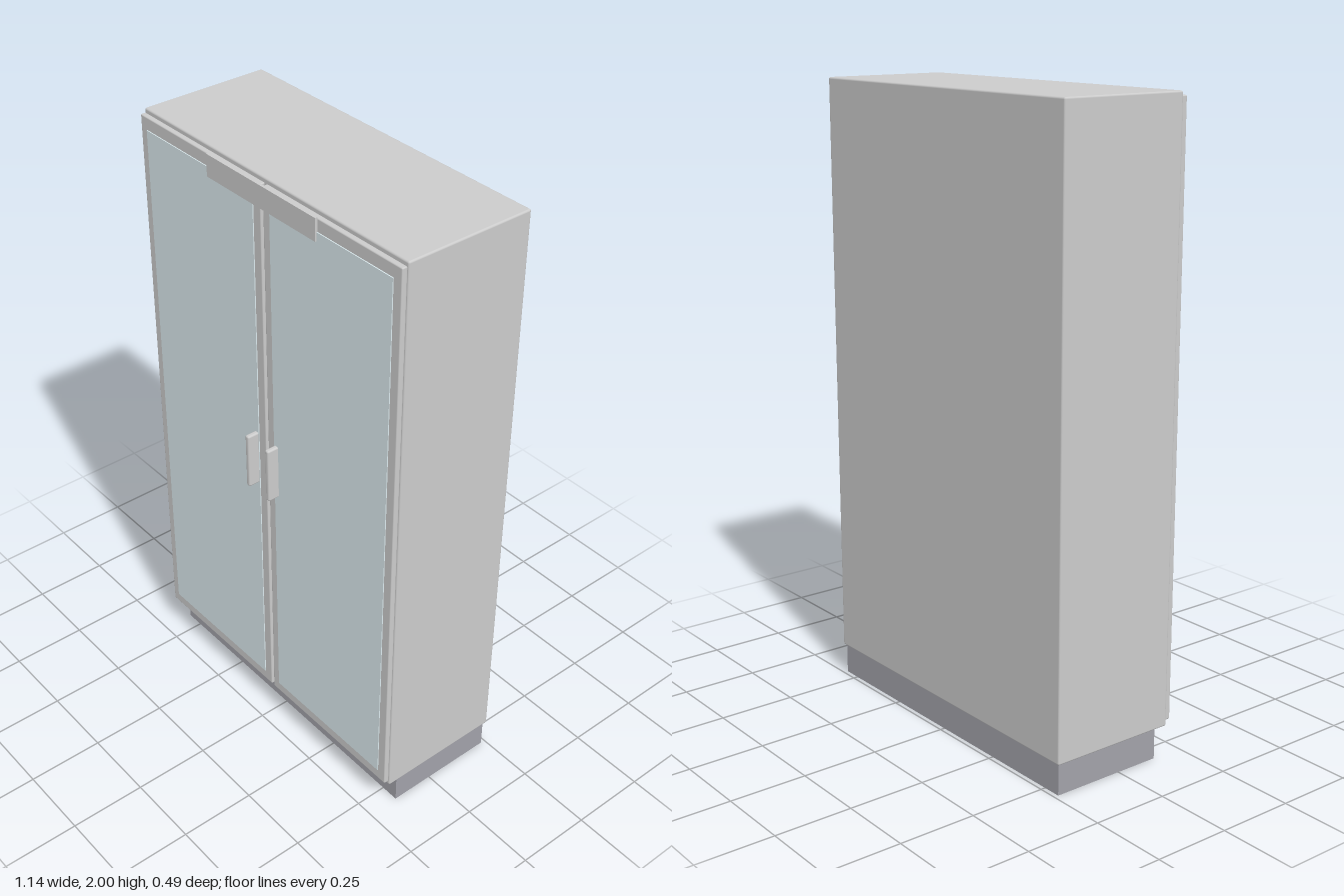
import * as THREE from 'three';
import { RoundedBoxGeometry } from 'three/addons/geometries/RoundedBoxGeometry.js';

const steel = new THREE.MeshStandardMaterial({ color: 0xcccccc });
const plinthGrey = new THREE.MeshStandardMaterial({ color: 0xa2a2aa });
const paleGlass = new THREE.MeshStandardMaterial({ color: 0xdcebef });

// Box given by its lower and upper corners, with optional rounded edges
function block(name, [x0, y0, z0], [x1, y1, z1], material, radius = 0) {
  const size = [x1 - x0, y1 - y0, z1 - z0];
  const geometry = radius
    ? new RoundedBoxGeometry(...size, 3, radius)
    : new THREE.BoxGeometry(...size);
  const mesh = new THREE.Mesh(geometry, material);
  mesh.name = name;
  mesh.position.set((x0 + x1) / 2, (y0 + y1) / 2, (z0 + z1) / 2);
  return mesh;
}

// Mirrored block: side is +1 for the model's left, -1 for its right
function sideBlock(name, side, [xa, y0, z0], [xb, y1, z1], material, radius) {
  const x0 = Math.min(side * xa, side * xb);
  const x1 = Math.max(side * xa, side * xb);
  return block(name, [x0, y0, z0], [x1, y1, z1], material, radius);
}

function door(side) {
  const group = new THREE.Group();
  group.name = side > 0 ? 'leftDoor' : 'rightDoor';
  group.add(
    sideBlock('doorFrame', side, [0.005, 0.117, 0.184], [0.566, 1.987, 0.202], steel, 0.004),
    // Glass sits just proud of the frame
    sideBlock('doorGlass', side, [0.037, 0.155, 0.198], [0.535, 1.947, 0.205], paleGlass),
    sideBlock('doorHandle', side, [0.039, 0.957, 0.2], [0.056, 1.145, 0.243], steel, 0.006),
  );
  return group;
}

export function createModel() {
  const model = new THREE.Group();
  model.name = 'supplyCabinet';

  // Carcass on a recessed plinth
  model.add(
    block('plinth', [-0.56, 0, -0.235], [0.56, 0.105, 0.145], plinthGrey),
    block('cabinetBody', [-0.57, 0.1, -0.243], [0.57, 2, 0.184], steel, 0.006),
  );

  // Pair of glazed doors
  for (const side of [-1, 1]) model.add(door(side));

  // Blank label plate across the top of the doors
  model.add(block('labelPlate', [-0.237, 1.92, 0.202], [0.237, 1.99, 0.21], steel));

  return model;
}
